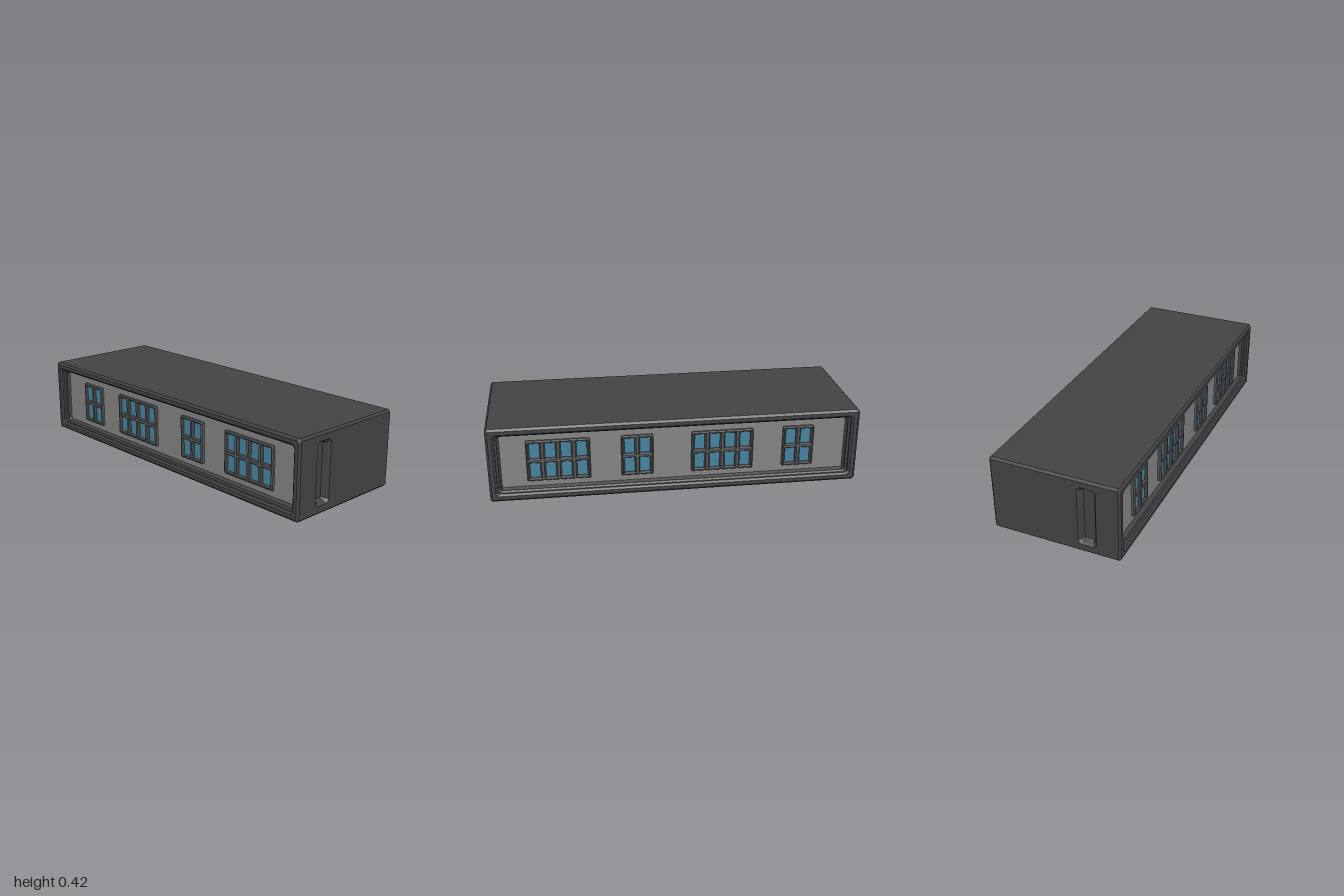
import * as THREE from 'three';

const mat = (name, color, side = THREE.FrontSide) => {
  const m = new THREE.MeshStandardMaterial({ color, side });
  m.name = name;
  return m;
};

const W = 1, H = 0.21, D = 0.35, CY = 0.21; // half sizes and centre height
const SLOT = { z: 0.174, y: 0.211, w: 0.049, h: 0.166, c: 0.015 };

// Rectangle with cut corners, counter-clockwise, face 0 at +x and face 4 at -x
const ring = (w, h, c) => [
  [w, -h + c], [w, h - c], [w - c, h], [-w + c, h],
  [-w, h - c], [-w, -h + c], [-w + c, -h], [w - c, -h],
];

// Skin between rings [halfWidth, halfHeight, cornerCut, z]
function loft(rings, skip = () => false) {
  const pos = [];
  for (let k = 0; k + 1 < rings.length; k++) {
    const [w0, h0, c0, z0] = rings[k], [w1, h1, c1, z1] = rings[k + 1];
    const a = ring(w0, h0, c0), b = ring(w1, h1, c1);
    for (let i = 0; i < 8; i++) {
      if (skip(k, i)) continue;
      const j = (i + 1) % 8;
      const A = [...a[i], z0], A2 = [...a[j], z0], B = [...b[i], z1], B2 = [...b[j], z1];
      pos.push(...A, ...B, ...B2, ...A, ...B2, ...A2);
    }
  }
  const g = new THREE.BufferGeometry();
  g.setAttribute('position', new THREE.Float32BufferAttribute(pos, 3));
  g.computeVertexNormals();
  return g;
}

const toShape = (pts, x = 0, y = 0, Type = THREE.Shape) =>
  new Type(pts.map(([u, v]) => new THREE.Vector2(u + x, v + y)));

export function createModel() {
  const model = new THREE.Group();
  const shellMat = mat('charcoal shell', 0x424242);
  const wallMat = mat('grey wall', 0x828282);
  const frameMat = mat('window frame grey', 0x585858);
  const glassMat = mat('blue glass', 0x45809c);

  const add = (parent, name, geometry, material, x = 0, y = 0, z = 0) => {
    const m = new THREE.Mesh(geometry, material);
    m.name = name;
    m.position.set(x, y, z);
    parent.add(m);
    return m;
  };

  // Outer shell: recess, rim, bevel, long body, then the same mirrored
  const half = [
    [0.935, 0.151, 0.008, 0.298], [0.945, 0.158, 0.01, 0.312], [0.945, 0.158, 0.01, 0.322],
    [0.957, 0.168, 0.012, 0.328], [0.957, 0.168, 0.012, 0.34], [0.968, 0.178, 0.014, D],
    [W - 0.012, H - 0.012, 0.006, D], [W, H, 0.011, D - 0.011],
  ];
  const rings = [...half, ...half.map(([w, h, c, z]) => [w, h, c, -z]).reverse()];
  const main = half.length - 1;
  add(model, 'shell', loft(rings, (k, i) => k === main && i % 4 === 0), shellMat, 0, CY);

  // End walls with a bevelled slot toward the front
  for (const s of [1, -1]) {
    const end = new THREE.Group();
    end.name = s > 0 ? 'leftEnd' : 'rightEnd';
    end.rotation.y = s * Math.PI / 2;
    const u = -s * SLOT.z;
    const wall = toShape(ring(D - 0.011, H - 0.011, 0), 0, CY);
    wall.holes.push(toShape(ring(SLOT.w, SLOT.h, SLOT.c), u, SLOT.y, THREE.Path));
    add(end, 'endWall', new THREE.ShapeGeometry(wall), shellMat, 0, 0, W);
    add(end, 'slotWalls', loft([
      [0.028, 0.143, 0.003, W - 0.035], [0.039, 0.156, 0.012, W - 0.012],
      [SLOT.w, SLOT.h, SLOT.c, W],
    ]), shellMat, u, SLOT.y);
    add(end, 'slotFloor', new THREE.ShapeGeometry(toShape(ring(0.028, 0.143, 0.003))),
      shellMat, u, SLOT.y, W - 0.035);
    model.add(end);
  }

  // Window with a grid of recessed panes, built on the plane z = 0
  const pitchX = 0.083, pitchY = 0.115;
  function makeWindow(cols) {
    const g = new THREE.Group();
    g.name = 'window';
    const w = cols * pitchX / 2 + 0.003, h = pitchY + 0.001, top = 0.018;
    const face = toShape(ring(w - 0.005, h - 0.005, 0.002));
    for (let c = 0; c < cols; c++) {
      for (const r of [-0.5, 0.5]) {
        const x = (c - (cols - 1) / 2) * pitchX, y = r * pitchY * 0.98;
        face.holes.push(toShape(ring(0.035, 0.05, 0.001), x, y, THREE.Path));
        add(g, 'paneReveal', loft([
          [0.027, 0.043, 0.001, 0.005], [0.03, 0.046, 0.001, 0.013], [0.035, 0.05, 0.001, top],
        ]), shellMat, x, y);
        add(g, 'pane', new THREE.PlaneGeometry(0.056, 0.088), glassMat, x, y, 0.005);
      }
    }
    add(g, 'frameFace', new THREE.ShapeGeometry(face), frameMat, 0, 0, top);
    add(g, 'frameEdge', loft([
      [w - 0.005, h - 0.005, 0.002, top], [w, h, 0.004, top - 0.006], [w, h, 0.004, 0],
    ]), frameMat);
    return g;
  }

  // Recessed walls with matching windows on front and back
  const windows = [[-0.673, 2], [-0.253, 4], [0.21, 2], [0.63, 4]];
  for (const s of [1, -1]) {
    const side = new THREE.Group();
    side.name = s > 0 ? 'frontWall' : 'backWall';
    side.rotation.y = s > 0 ? 0 : Math.PI;
    add(side, 'wallPanel', new THREE.PlaneGeometry(1.87, 0.302), wallMat, 0, CY, 0.298);
    for (const [x, cols] of windows) {
      const win = makeWindow(cols);
      win.position.set(s * x, CY, 0.298);
      side.add(win);
    }
    model.add(side);
  }
  return model;
}
